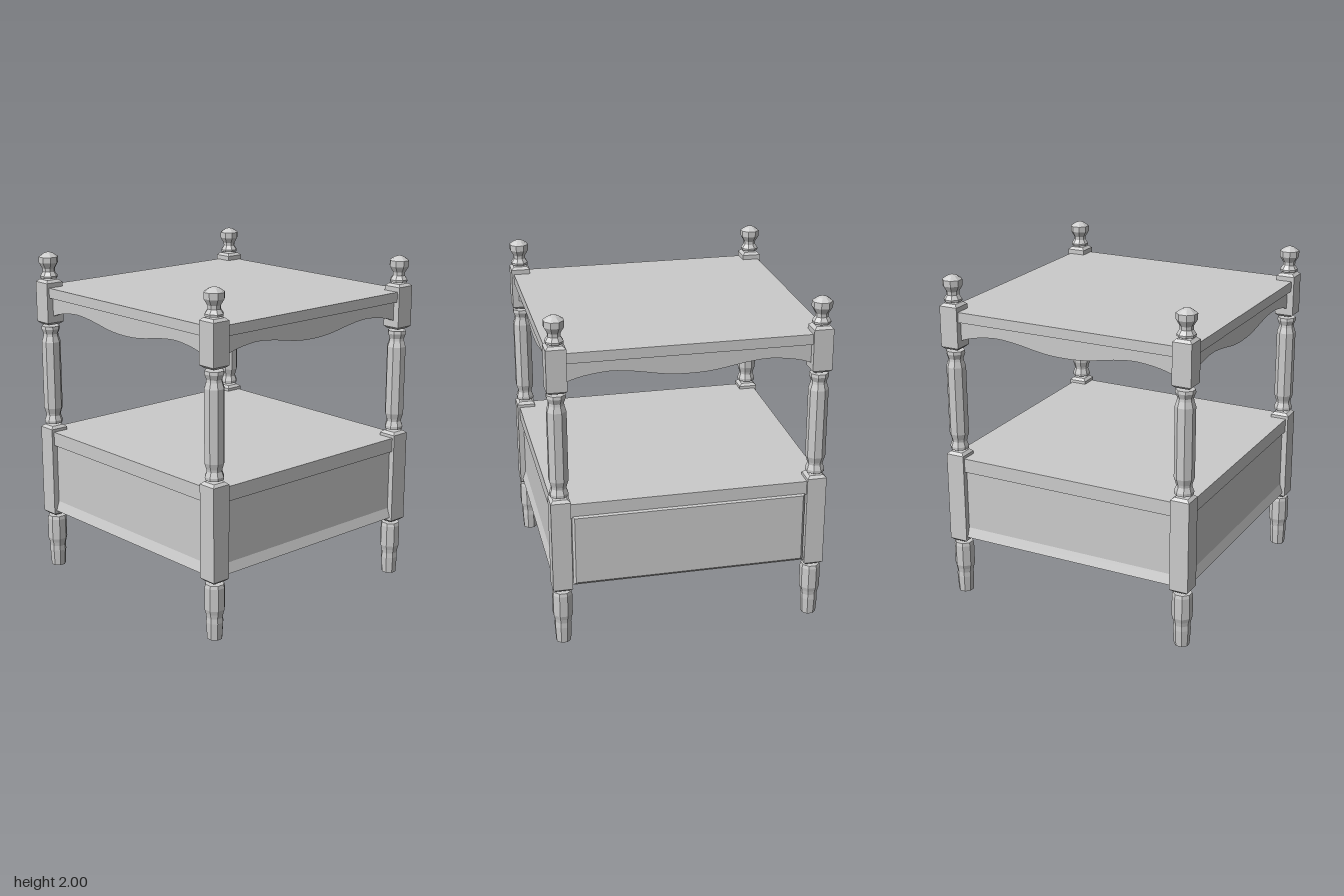
import * as THREE from 'three';

const material = new THREE.MeshStandardMaterial({ color: 0xcccccc, flatShading: true });
const PX = 0.733, PZ = 0.747; // post centres

function add(parent, name, geometry, x = 0, y = 0, z = 0) {
  const mesh = new THREE.Mesh(geometry, material);
  mesh.name = name;
  mesh.position.set(x, y, z);
  parent.add(mesh);
  return mesh;
}

function box(parent, name, x0, x1, y0, y1, z0, z1) {
  return add(parent, name, new THREE.BoxGeometry(x1 - x0, y1 - y0, z1 - z0),
    (x0 + x1) / 2, (y0 + y1) / 2, (z0 + z1) / 2);
}

// Turned section with eight sides; profile listed from bottom to top
function turned(profile) {
  return new THREE.LatheGeometry(profile.map(([r, y]) => new THREE.Vector2(r, y)), 8, Math.PI / 8);
}

// Square block whose ends taper slightly
function block(y0, y1) {
  const d = Math.SQRT2;
  const profile = [[0, y0], [0.04 * d, y0], [0.057 * d, y0 + 0.015],
    [0.057 * d, y1 - 0.015], [0.04 * d, y1], [0, y1]];
  return new THREE.LatheGeometry(profile.map(([r, y]) => new THREE.Vector2(r, y)), 4, Math.PI / 4);
}

function makePost() {
  const post = new THREE.Group();
  add(post, 'foot', turned([[0, 0], [0.045, 0], [0.051, 0.1], [0.049, 0.13], [0.053, 0.155],
    [0.06, 0.18], [0.06, 0.31], [0.055, 0.33], [0, 0.33]]));
  add(post, 'lowerBlock', block(0.343, 0.923));
  add(post, 'spindle', turned([[0, 0.938], [0.055, 0.938], [0.056, 0.955], [0.045, 0.985], [0.047, 1.0],
    [0.058, 1.035], [0.058, 1.45], [0.047, 1.485], [0.045, 1.5], [0.057, 1.53], [0.055, 1.548], [0, 1.548]]));
  add(post, 'upperBlock', block(1.56, 1.833));
  add(post, 'finial', turned([[0, 1.842], [0.052, 1.842], [0.054, 1.855], [0.037, 1.88], [0.038, 1.9],
    [0.059, 1.935], [0.059, 1.97], [0.03, 1.99], [0, 2.0]]));
  return post;
}

// Scalloped board below the top shelf, spanning two posts
function apronGeometry(half) {
  const edge = new THREE.SplineCurve([[-1, 1.613], [-0.86, 1.642], [-0.65, 1.66], [-0.45, 1.648], [-0.2, 1.618],
    [0, 1.61], [0.2, 1.618], [0.45, 1.648], [0.65, 1.66], [0.86, 1.642], [1, 1.613]]
    .map(([u, y]) => new THREE.Vector2(u * half, y)));
  const shape = new THREE.Shape([...edge.getPoints(30),
    new THREE.Vector2(half, 1.74), new THREE.Vector2(-half, 1.74)]);
  return new THREE.ExtrudeGeometry(shape, { depth: 0.03, bevelEnabled: false });
}

export function createModel() {
  const table = new THREE.Group();
  table.name = 'sideTable';

  // Corner posts
  for (const sx of [-1, 1]) for (const sz of [-1, 1]) {
    const post = makePost();
    post.name = `${sz > 0 ? 'front' : 'back'}${sx > 0 ? 'Left' : 'Right'}Post`;
    post.position.set(sx * PX, 0, sz * PZ);
    table.add(post);
  }

  // Shelves
  box(table, 'topShelf', -0.775, 0.775, 1.73, 1.79, -0.79, 0.79);
  box(table, 'lowerShelf', -0.775, 0.775, 0.805, 0.89, -0.79, 0.79);

  // Aprons on all four sides
  for (let i = 0; i < 4; i++) {
    const side = i % 2 === 1;
    const holder = new THREE.Group();
    holder.name = ['frontApron', 'leftApron', 'backApron', 'rightApron'][i];
    holder.rotation.y = i * Math.PI / 2;
    add(holder, 'scallopedBoard', apronGeometry(side ? 0.7 : 0.685), 0, 0, (side ? 0.75 : 0.765) - 0.03);
    table.add(holder);
  }

  // Drawer case and its flared base
  box(table, 'drawerCase', -0.755, 0.755, 0.385, 0.81, -0.77, 0.77);
  const base = new THREE.BoxGeometry(1.55, 0.06, 1.58);
  const p = base.attributes.position;
  for (let i = 0; i < p.count; i++) {
    if (p.getY(i) > 0) p.setXYZ(i, p.getX(i) * 0.974, p.getY(i), p.getZ(i) * 0.974);
  }
  base.computeVertexNormals();
  add(table, 'flaredBase', base, 0, 0.408, 0);

  // Drawer front with a bevelled rim, on the left side
  const w = 0.67, h = 0.205;
  const panel = new THREE.Shape([[-w, -h], [w, -h], [w, h], [-w, h]].map(([x, y]) => new THREE.Vector2(x, y)));
  const front = add(table, 'drawerFront', new THREE.ExtrudeGeometry(panel,
    { depth: 0.03, bevelThickness: 0.012, bevelSize: 0.014, bevelSegments: 1 }), 0.742, 0.598, 0);
  front.rotation.y = Math.PI / 2;

  return table;
}
